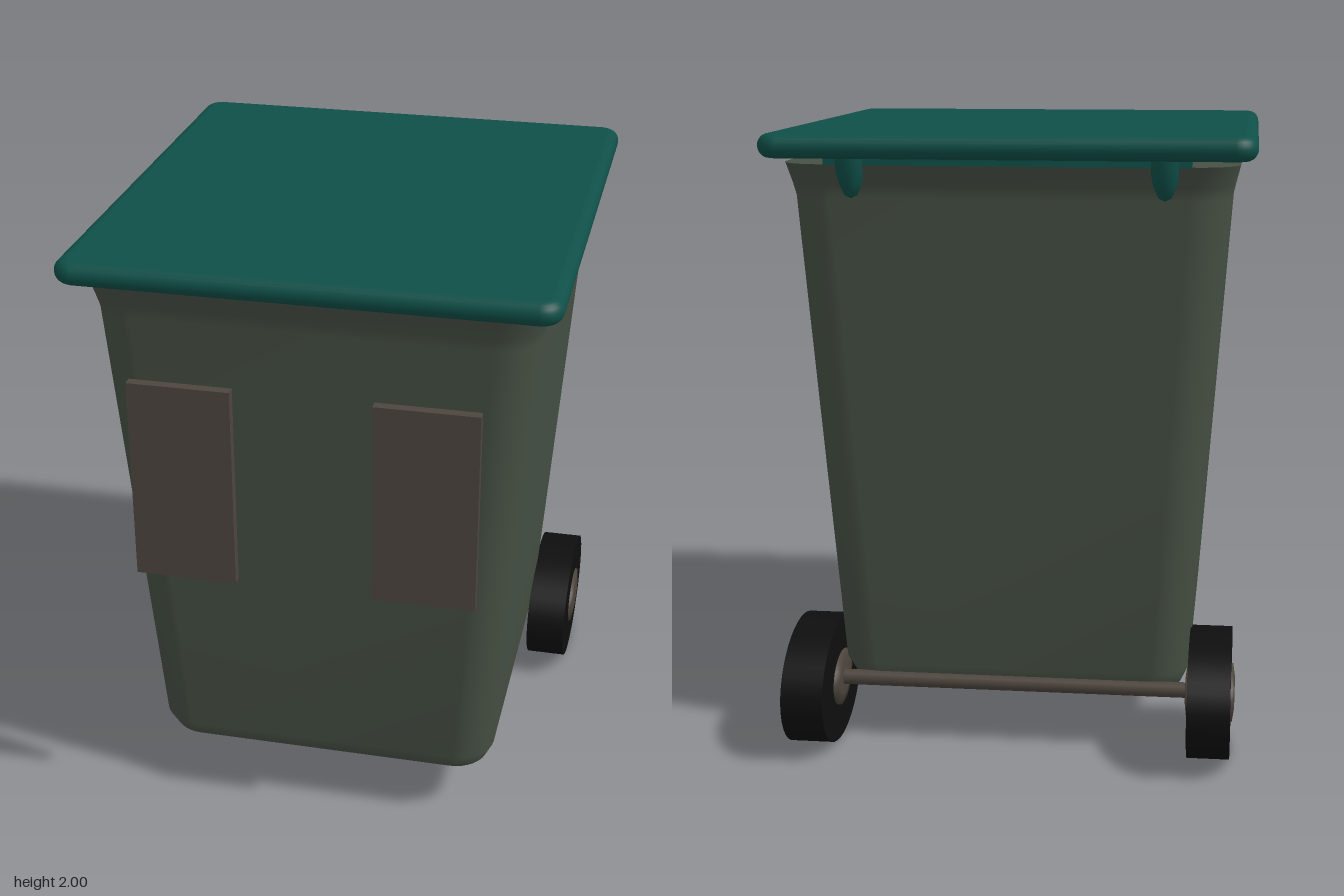
import * as THREE from 'three';

const mat = (name, color) => {
  const m = new THREE.MeshStandardMaterial({ color });
  m.name = name;
  return m;
};

// Rounded rectangle outline at one height: { y, x: half width, z0: back, z1: front, r: corner radius }
function outline({ y, x, z0, z1, r }, steps = 8) {
  const pts = [];
  const corners = [[x - r, z1 - r], [r - x, z1 - r], [r - x, z0 + r], [x - r, z0 + r]];
  corners.forEach(([cx, cz], q) => {
    for (let i = 0; i <= steps; i++) {
      const a = (q + i / steps) * Math.PI / 2;
      pts.push([cx + r * Math.cos(a), y, cz + r * Math.sin(a)]);
    }
  });
  return pts;
}

// Smooth skin through outlines from bottom to top, closed by flat caps with their own normals
function loft(sections) {
  const rings = sections.map(s => outline(s));
  const n = rings[0].length;
  const pos = rings.flat(2);
  const index = [];
  for (let i = 0; i < rings.length - 1; i++) {
    for (let j = 0; j < n; j++) {
      const k = (j + 1) % n;
      const a = i * n + j, b = i * n + k, c = a + n, d = b + n;
      index.push(a, c, b, b, c, d);
    }
  }
  const cap = (ring, up) => {
    const base = pos.length / 3;
    pos.push(...ring.flat());
    for (let j = 1; j < n - 1; j++) {
      if (up) index.push(base, base + j + 1, base + j);
      else index.push(base, base + j, base + j + 1);
    }
  };
  cap(rings[0], false);
  cap(rings[rings.length - 1], true);
  const g = new THREE.BufferGeometry();
  g.setAttribute('position', new THREE.Float32BufferAttribute(pos, 3));
  g.setIndex(index);
  g.computeVertexNormals();
  return g;
}

export function createModel() {
  const group = new THREE.Group();
  const green = mat('bin green', 0x465044);
  const teal = mat('lid teal', 0x0f4f48);
  const brown = mat('panel brown', 0x4d4540);
  const grey = mat('hub grey brown', 0x4d453d);
  const black = mat('tyre black', 0x0e0e0e);

  const add = (name, geometry, material, x = 0, y = 0, z = 0, parent = group) => {
    const m = new THREE.Mesh(geometry, material);
    m.name = name;
    m.position.set(x, y, z);
    parent.add(m);
    return m;
  };

  // Tapered bin with a chamfered foot and a flared rim
  add('body', loft([
    { y: 0.2, x: 0.545, z0: -0.555, z1: 0.615, r: 0.11 },
    { y: 0.26, x: 0.57, z0: -0.59, z1: 0.645, r: 0.12 },
    { y: 1.0, x: 0.623, z0: -0.642, z1: 0.695, r: 0.125 },
    { y: 1.8, x: 0.68, z0: -0.698, z1: 0.75, r: 0.13 },
    { y: 1.84, x: 0.689, z0: -0.708, z1: 0.759, r: 0.13 },
    { y: 1.905, x: 0.705, z0: -0.735, z1: 0.775, r: 0.13 },
  ]), green);

  // Lid slab with a half-round edge
  const lid = [];
  for (let i = 0; i <= 10; i++) {
    const a = (i / 10 - 0.5) * Math.PI;
    const inset = 0.0375 * (1 - Math.cos(a));
    lid.push({
      y: 1.9625 + 0.0375 * Math.sin(a), x: 0.757 - inset,
      z0: -0.813 + inset, z1: 0.855 - inset, r: 0.065 - inset,
    });
  }
  add('lid', loft(lid), teal);

  // Hinge strip under the back of the lid
  add('hingeStrip', new THREE.BoxGeometry(1.12, 0.025, 0.09), teal, 0, 1.9155, -0.69);

  const hingeGeo = new THREE.LatheGeometry(
    [[0, 0], [0.02, 0.01], [0.036, 0.045], [0.048, 0.09], [0.052, 0.13]]
      .map(p => new THREE.Vector2(...p)), 20);
  const tyreGeo = new THREE.CylinderGeometry(0.2, 0.2, 0.135, 40).rotateZ(Math.PI / 2);
  // Hub with gently domed faces
  const hubGeo = new THREE.LatheGeometry(
    [[0, -0.08], [0.05, -0.079], [0.088, -0.073], [0.088, 0.073], [0.05, 0.079], [0, 0.08]]
      .map(p => new THREE.Vector2(...p)), 32).rotateZ(-Math.PI / 2);

  for (const s of [1, -1]) {
    const side = s > 0 ? 'left' : 'right';

    // Tapered hinge lug
    add(side + 'Hinge', hingeGeo, teal, s * 0.48, 1.8, -0.705).scale.z = 1.1;

    // Plate standing off the front
    add(side + 'Panel', new THREE.BoxGeometry(0.322, 0.66, 0.032), brown, s * 0.378, 1.305, 0.836);

    // Oval wheel and hub
    const wheel = new THREE.Group();
    wheel.name = side + 'Wheel';
    wheel.position.set(s * 0.6425, 0.2, -0.555);
    wheel.scale.z = 1.5;
    add('tyre', tyreGeo, black, 0, 0, 0, wheel);
    add('hub', hubGeo, grey, 0, 0, 0, wheel);
    group.add(wheel);
  }

  // Axle along the lower back edge
  add('axle', new THREE.CylinderGeometry(0.025, 0.025, 1.2, 16).rotateZ(Math.PI / 2), grey, 0, 0.205, -0.57);

  return group;
}
